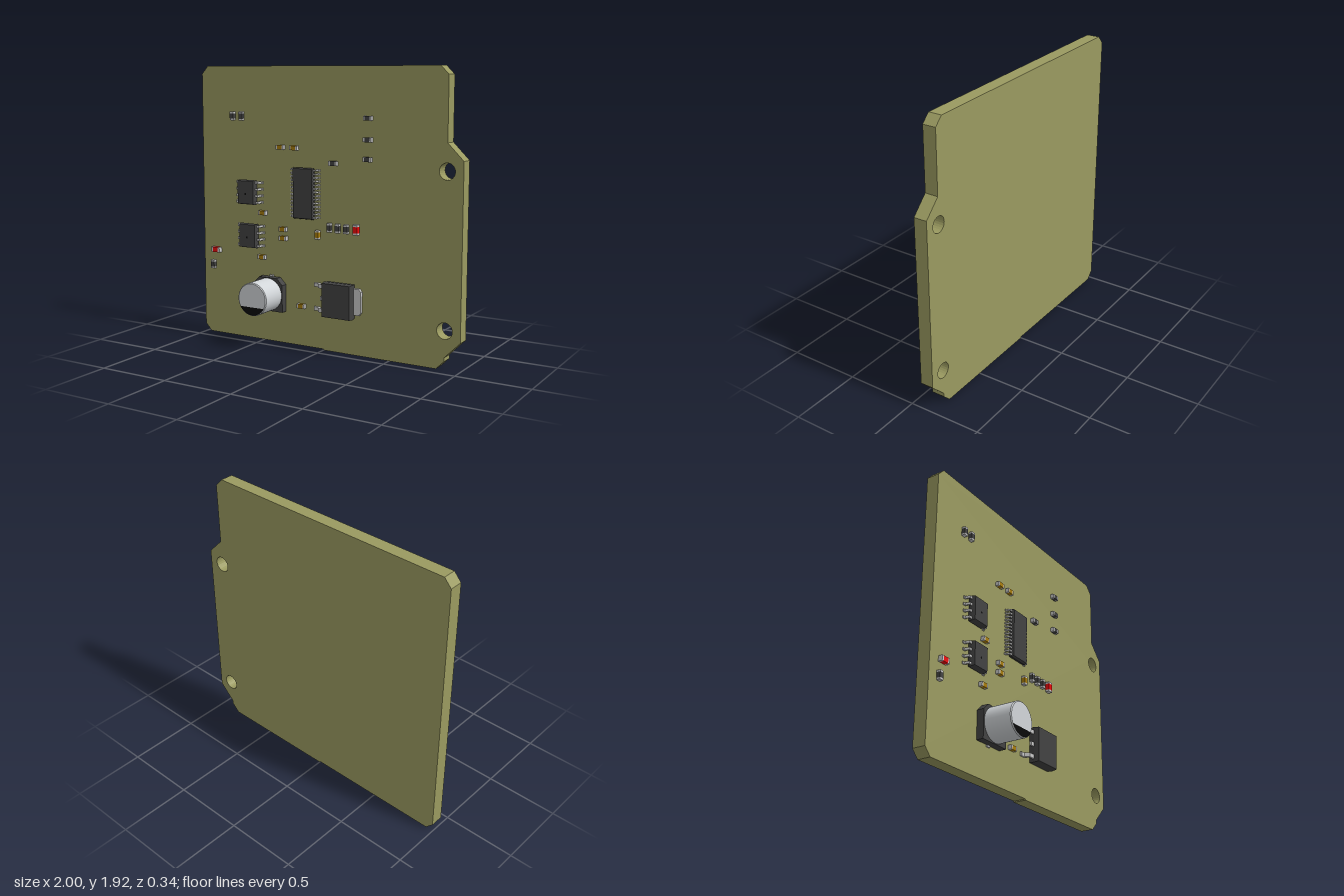
import * as THREE from 'three';

const mat = (color, opts = {}) => new THREE.MeshStandardMaterial({ color, flatShading: true, ...opts });
const MATS = {
  board: mat(0x9a9a60), chip: mat(0x424242), metal: mat(0xcccccc),
  resistor: mat(0x424242), ceramic: mat(0xa87c08), led: mat(0xf00808), black: mat(0x080808),
  can: mat(0xd2d6d9, { flatShading: false }),
};
const BOARD_FRONT = -0.08, BOARD_BACK = -0.17;

function add(parent, name, geometry, material, x = 0, y = 0, z = 0) {
  const mesh = new THREE.Mesh(geometry, material);
  mesh.name = name;
  mesh.position.set(x, y, z);
  parent.add(mesh);
  return mesh;
}

function group(parent, name, x, y, turn = 0) {
  const g = new THREE.Group();
  g.name = name;
  g.position.set(x, y, 0);
  g.rotation.z = turn;
  parent.add(g);
  return g;
}

const polygon = (pts) => new THREE.Shape(pts.map(([x, y]) => new THREE.Vector2(x, y)));
const extrude = (shape, depth) => new THREE.ExtrudeGeometry(shape, { depth, bevelEnabled: false, curveSegments: 12 });

// Moulded package: a box, widest at its middle, with drafted sides
function mouldedBody(w, h, d, draft) {
  const geo = new THREE.BoxGeometry(w, h, d, 1, 1, 2);
  const p = geo.attributes.position;
  for (let i = 0; i < p.count; i++) {
    if (Math.abs(p.getZ(i)) < d / 4) continue;
    p.setX(i, p.getX(i) - Math.sign(p.getX(i)) * draft);
    p.setY(i, p.getY(i) - Math.sign(p.getY(i)) * draft);
  }
  return geo;
}

// Bent lead: leaves the body at a height, steps down to a foot on the board
function gullLead(reach, height, width, t) {
  const a = reach * 0.4, b = reach * 0.6;
  const geo = extrude(polygon([
    [-0.02, height - t], [a - t / 2, height - t], [b - t / 2, 0], [reach, 0],
    [reach, t], [b + t / 2, t], [a + t / 2, height], [-0.02, height],
  ]), width);
  geo.translate(0, 0, -width / 2);
  return geo.rotateX(Math.PI / 2);
}

// Two-row integrated circuit
function integratedCircuit(parent, name, { x, y, w, h, top, pins, pitch, pinWidth, reach, marker }) {
  const g = group(parent, name, x, y);
  const base = 0.01, d = top - base;
  add(g, 'body', mouldedBody(w, h, d, 0.006), MATS.chip, 0, 0, base + d / 2);
  const lead = gullLead(reach, base + d / 2 + 0.005, pinWidth, 0.008);
  for (const side of [0, Math.PI]) {
    const row = group(g, 'leadRow', side ? -w / 2 : w / 2, 0, side);
    for (let i = 0; i < pins; i++) add(row, 'lead', lead, MATS.metal, 0, (i - (pins - 1) / 2) * pitch, 0);
  }
  if (marker) add(g, 'pinMarker', new THREE.CircleGeometry(0.008, 12), MATS.black, 0, -0.01, top + 0.001);
}

// Two-terminal part: coloured middle between metal end caps
function chipPart(parent, name, material, x, y, vertical, l = 0.06, w = 0.03, h = 0.027) {
  const g = group(parent, name, x, y, vertical ? Math.PI / 2 : 0);
  const cap = l * 0.2;
  add(g, 'middle', new THREE.BoxGeometry(l - 2 * cap, w, h), material, 0, 0, h / 2);
  for (const s of [-1, 1]) {
    add(g, 'terminal', new THREE.BoxGeometry(cap, w, h), MATS.metal, s * (l - cap) / 2, 0, h / 2);
  }
}

function boardGeometry() {
  const shape = polygon([
    [-1, 0.06], [-0.95, 0.008], [0, 0.008], [0, 0], [0.835, 0], [0.89, 0.055], [0.89, 0.08], [1, 0.19],
    [1, 1.34], [0.89, 1.45], [0.89, 1.87], [0.835, 1.925], [-0.95, 1.925], [-1, 1.87],
  ]);
  for (const y of [1.272, 0.256]) {
    shape.holes.push(new THREE.Path().absarc(0.89, y, 0.054, 0, Math.PI * 2, true));
  }
  return extrude(shape, BOARD_FRONT - BOARD_BACK);
}

// Can capacitor standing on a square base with two cut corners
function canCapacitor(parent, x, y) {
  const g = group(parent, 'canCapacitor', x, y);
  const s = 0.118, c = 0.045, r = 0.115, top = 0.25;
  add(g, 'base', extrude(polygon([
    [-s, -s], [s, -s], [s, s - c], [s - c, s], [c - s, s], [-s, s - c],
  ]), 0.05), MATS.chip, 0, 0, 0.004);
  const profile = [[r - 0.008, 0.05], [r, 0.058], [r, top - 0.006], [r, top - 0.006], [r - 0.006, top], [r - 0.006, top], [0, top]];
  const can = new THREE.LatheGeometry(profile.map(([a, b]) => new THREE.Vector2(a, b)), 40);
  add(g, 'can', can.rotateX(Math.PI / 2), MATS.can);
  const half = 1.05;
  const mark = new THREE.Shape().absarc(0, 0, r - 0.006, -Math.PI / 2 - half, -Math.PI / 2 + half, false);
  add(g, 'polarityMark', new THREE.ShapeGeometry(mark, 20), MATS.black, 0, 0, top + 0.001);
  for (const k of [-1, 1]) add(g, 'lead', new THREE.BoxGeometry(0.03, 0.03, 0.01), MATS.metal, 0, k * 0.115, 0.005);
}

// Power package with a metal tab and two long leads
function powerPackage(parent, x, y) {
  const g = group(parent, 'powerPackage', x, y);
  add(g, 'body', mouldedBody(0.22, 0.24, 0.075, 0.005), MATS.chip, 0, 0, 0.0425);
  const tab = polygon([[0, -0.09], [0.145, -0.09], [0.16, -0.07], [0.16, 0.07], [0.145, 0.09], [0, 0.09]]);
  add(g, 'tab', extrude(tab, 0.022), MATS.metal);
  const leads = group(g, 'leads', -0.11, 0, Math.PI);
  const lead = gullLead(0.095, 0.045, 0.026, 0.014);
  for (const k of [-1, 1]) add(leads, 'lead', lead, MATS.metal, 0, k * 0.083, 0);
  add(leads, 'stub', new THREE.BoxGeometry(0.05, 0.026, 0.014), MATS.metal, 0.005, 0, 0.038);
}

export function createModel() {
  const model = new THREE.Group();
  model.name = 'circuitBoard';
  add(model, 'board', boardGeometry(), MATS.board, 0, 0, BOARD_BACK);

  // Everything below is mounted on the front face
  const parts = group(model, 'components', 0, 0);
  parts.position.z = BOARD_FRONT;

  for (const [x, y] of [[-0.595, 1.055], [-0.585, 0.75]]) {
    integratedCircuit(parts, 'smallCircuit', {
      x, y, w: 0.14, h: 0.172, top: 0.062, pins: 4, pitch: 0.046, pinWidth: 0.016, reach: 0.04, marker: true,
    });
  }
  integratedCircuit(parts, 'largeCircuit', {
    x: -0.14, y: 1.073, w: 0.16, h: 0.348, top: 0.047, pins: 14, pitch: 0.0245, pinWidth: 0.011, reach: 0.036,
  });
  canCapacitor(parts, -0.417, 0.353);
  powerPackage(parts, 0.138, 0.37);

  // x, y, and whether the part stands vertically
  const resistors = [
    [-0.73, 1.58, 1], [-0.657, 1.58, 1], [0.052, 0.853, 1], [0.117, 0.853, 1], [0.181, 0.853, 1], [-0.914, 0.511, 1],
    [0.338, 1.589, 0], [0.338, 1.45, 0], [0.338, 1.322, 0], [0.081, 1.285, 0],
  ];
  const ceramics = [
    [-0.335, 1.376, 0], [-0.225, 1.376, 0], [-0.483, 0.915, 0], [-0.316, 0.813, 0], [-0.316, 0.75, 0],
    [-0.492, 0.602, 0], [-0.169, 0.29, 0], [-0.041, 0.797, 1],
  ];
  for (const [x, y, v] of resistors) chipPart(parts, 'resistor', MATS.resistor, x, y, v);
  for (const [x, y, v] of ceramics) chipPart(parts, 'ceramicCapacitor', MATS.ceramic, x, y, v);
  for (const [x, y, v] of [[-0.885, 0.62, 0], [0.255, 0.855, 1]]) {
    chipPart(parts, 'indicatorLight', MATS.led, x, y, v, 0.07, 0.036, 0.03);
  }
  return model;
}
